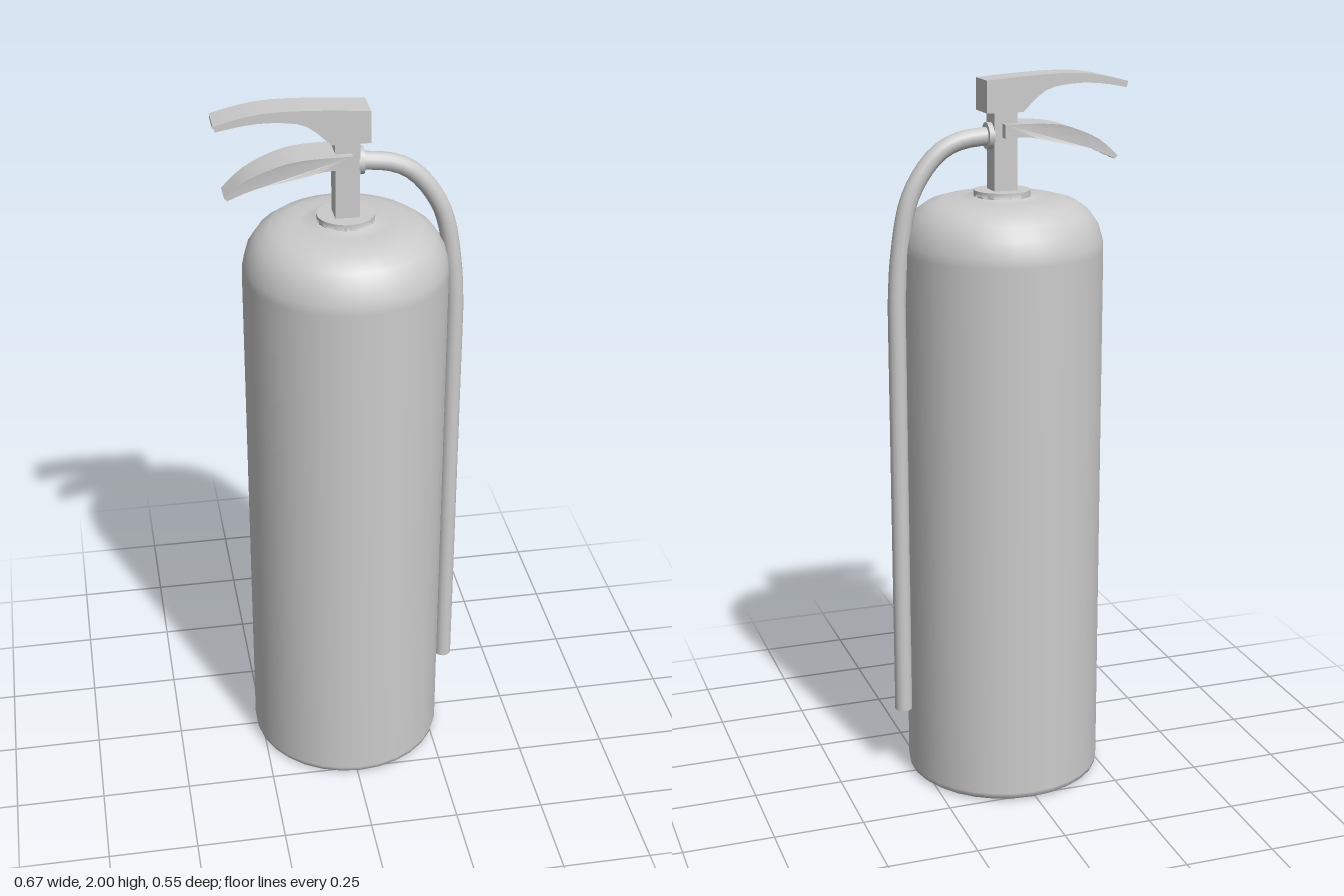
import * as THREE from 'three';
import { toCreasedNormals } from 'three/addons/utils/BufferGeometryUtils.js';

const CX = 0.008; // axis of the cylinder

export function createModel() {
  const group = new THREE.Group();
  const material = new THREE.MeshStandardMaterial({ color: 0xcccccc });
  const add = (name, geometry, x = 0, y = 0, z = 0, parent = group) => {
    const mesh = new THREE.Mesh(geometry, material);
    mesh.name = name;
    mesh.position.set(x, y, z);
    parent.add(mesh);
    return mesh;
  };
  const vectors = (pts) => pts.map(([x, y]) => new THREE.Vector2(x, y));

  // Smooth points through a few control points, left to right
  const curve = (pts, n = 12) => new THREE.SplineCurve(vectors(pts)).getPoints(n);

  // Side outline extruded between z0 and z1; z is scaled along x by a taper rule
  const plate = (outline, z0, z1, taper = () => 1) => {
    const g = new THREE.ExtrudeGeometry(new THREE.Shape(outline), { depth: z1 - z0, bevelEnabled: false });
    g.translate(0, 0, z0);
    const p = g.attributes.position;
    for (let i = 0; i < p.count; i++) p.setZ(i, p.getZ(i) * taper(p.getX(i)));
    return toCreasedNormals(g, 0.5);
  };

  // Tank with rounded shoulder
  const tank = [[0, 0], [0.262, 0], [0.262, 0], [0.273, 0.008], [0.276, 0.022], [0.276, 1.53], [0.274, 1.555],
    [0.262, 1.597], [0.238, 1.633], [0.203, 1.658], [0.162, 1.67], [0.12, 1.672], [0.077, 1.675], [0.077, 1.688]];
  add('tank', new THREE.LatheGeometry(vectors(tank), 30), CX);
  add('neckCollar', new THREE.CylinderGeometry(0.077, 0.077, 0.02, 30), CX, 1.682);

  // Valve post and head block
  add('valvePost', new THREE.BoxGeometry(0.065, 0.23, 0.065), CX, 1.795);

  // Carrying handle: solid head with a hollow channel grip
  const handle = new THREE.Group();
  handle.name = 'carryHandle';
  group.add(handle);
  const top = curve([[-0.336, 1.973], [-0.255, 1.992], [-0.177, 2], [-0.06, 1.997], [0.066, 1.988]]);
  const under = curve([[-0.331, 1.957], [-0.255, 1.97], [-0.177, 1.972], [-0.1, 1.957], [-0.036, 1.902]]);
  const inner = top.map((p) => new THREE.Vector2(p.x, p.y - 0.011));
  const sideOutline = [...under, new THREE.Vector2(0.066, 1.902), ...top.slice().reverse()];
  for (const s of [-1, 1]) {
    add('handleFlange', plate(sideOutline, s > 0 ? 0.034 : -0.046, s > 0 ? 0.046 : -0.034), 0, 0, 0, handle);
  }
  add('handleTop', plate([...inner, ...top.slice().reverse()], -0.034, 0.034), 0, 0, 0, handle);
  add('handleHead', plate(vectors([[-0.036, 1.902], [0.066, 1.902], [0.066, 1.985], [-0.036, 1.99]]), -0.034, 0.034), 0, 0, 0, handle);

  // Squeeze lever: tapered channel whose cheeks straddle the post
  const lever = new THREE.Group();
  lever.name = 'squeezeLever';
  group.add(lever);
  const taper = (x) => {
    const t = THREE.MathUtils.clamp((-0.09 - x) / 0.22, 0, 1);
    return 1 - 0.38 * t * t;
  };
  const leverTop = curve([[-0.313, 1.772], [-0.256, 1.82], [-0.177, 1.855], [-0.11, 1.869], [-0.024, 1.872]]);
  const leverUnder = curve([[-0.305, 1.764], [-0.23, 1.797], [-0.124, 1.818], [-0.055, 1.835], [0.018, 1.835]]);
  const cheek = [...leverUnder, new THREE.Vector2(0.018, 1.872), ...leverTop.slice().reverse()];
  const leverInner = leverTop.map((p) => new THREE.Vector2(p.x + 0.004, p.y - 0.01));
  for (const s of [-1, 1]) {
    add('leverCheek', plate(cheek, s > 0 ? 0.034 : -0.055, s > 0 ? 0.055 : -0.034, taper), 0, 0, 0, lever);
  }
  add('leverTop', plate([...leverInner, ...leverTop.slice().reverse()], -0.034, 0.034, taper), 0, 0, 0, lever);

  // Hose fitting and hose
  add('hoseFitting', new THREE.CylinderGeometry(0.036, 0.036, 0.016, 16), 0.046, 1.838).rotation.z = Math.PI / 2;
  const path = new THREE.CurvePath();
  const bend = new THREE.CatmullRomCurve3([[0.04, 1.838], [0.124, 1.828], [0.177, 1.805], [0.226, 1.756],
    [0.272, 1.671], [0.3, 1.523], [0.309, 1.4]].map(([x, y]) => new THREE.Vector3(x, y, 0)));
  path.add(bend);
  path.add(new THREE.LineCurve3(new THREE.Vector3(0.309, 1.4, 0), new THREE.Vector3(0.309, 0.205, 0)));
  add('hose', new THREE.TubeGeometry(path, 60, 0.0245, 14));
  add('hoseEnd', new THREE.CircleGeometry(0.0245, 14), 0.309, 0.205).rotation.x = Math.PI / 2;

  return group;
}
